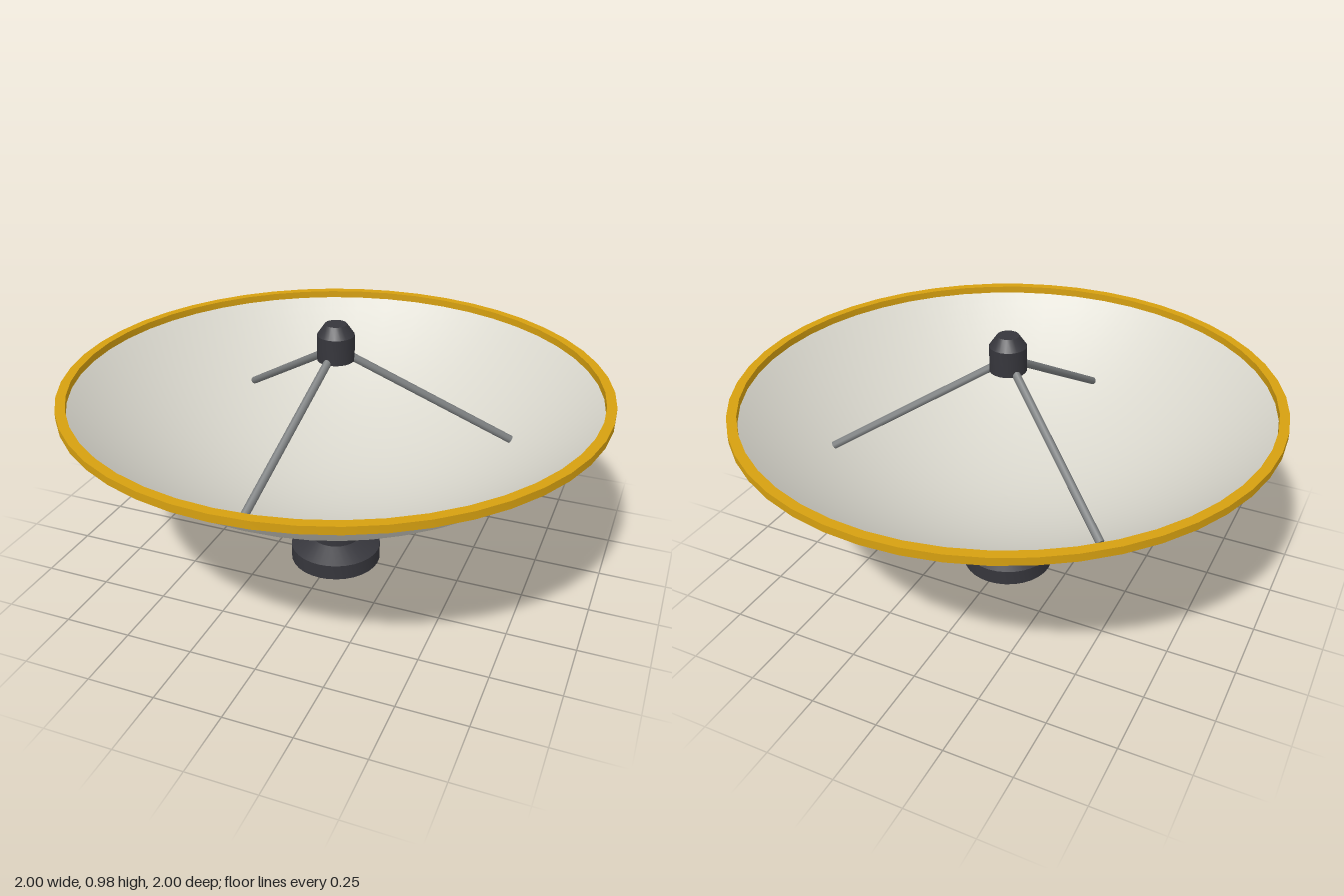
import * as THREE from 'three';
import { toCreasedNormals } from 'three/addons/utils/BufferGeometryUtils.js';

const material = (name, color, side = THREE.FrontSide) => {
  const m = new THREE.MeshStandardMaterial({ color, side });
  m.name = name;
  return m;
};

// Revolve a profile of [radius, height] pairs, listed from bottom to top on the outside
function revolve(profile, sides, creaseAngle = 0.5) {
  const points = profile.map(([r, y]) => new THREE.Vector2(r, y));
  return toCreasedNormals(new THREE.LatheGeometry(points, sides), creaseAngle);
}

export function createModel() {
  const charcoal = material('charcoal', 0x36363c);
  const shell = material('warmWhite', 0xd8d6cc, THREE.DoubleSide);
  const gold = material('gold', 0xd6a010);
  const steel = material('steel', 0x7c7f80);

  const model = new THREE.Group();
  model.name = 'dishAntenna';
  const add = (name, geometry, mat) => {
    const mesh = new THREE.Mesh(geometry, mat);
    mesh.name = name;
    model.add(mesh);
    return mesh;
  };

  // Pedestal: flanged foot with a column that meets the dish
  add('pedestal', revolve([
    [0, 0], [0.175, 0], [0.175, 0.06], [0.098, 0.1], [0.098, 0.299],
  ], 32), charcoal);

  // Parabolic reflector, a thin open surface
  const dishY = (r) => 0.295 + 0.458 * r * r;
  const dishPoints = Array.from({ length: 25 }, (_, i) => {
    const r = (0.98 * i) / 24;
    return new THREE.Vector2(r, dishY(r));
  });
  add('dish', new THREE.LatheGeometry(dishPoints, 48), shell);

  // Square-section rim band
  add('rim', revolve([
    [0.965, 0.735], [1, 0.735], [1, 0.763], [0.965, 0.763], [0.965, 0.735],
  ], 48), gold);

  // Feed horn above the centre
  add('feedHorn', revolve([
    [0, 0.845], [0.068, 0.845], [0.068, 0.94], [0.04, 0.98], [0, 0.98],
  ], 20), charcoal);

  // Three struts from the feed horn down to the dish
  const up = new THREE.Vector3(0, 1, 0);
  const top = new THREE.Vector3(0, 0.888, 0);
  for (let i = 0; i < 3; i++) {
    const angle = -0.122 + (i * Math.PI * 2) / 3;
    const foot = new THREE.Vector3(0.66 * Math.sin(angle), 0.508, 0.66 * Math.cos(angle));
    const span = top.clone().sub(foot);
    const strut = add('strut' + (i + 1), new THREE.CylinderGeometry(0.015, 0.015, span.length(), 10), steel);
    strut.position.copy(foot).addScaledVector(span, 0.5);
    strut.quaternion.setFromUnitVectors(up, span.normalize());
  }

  return model;
}
